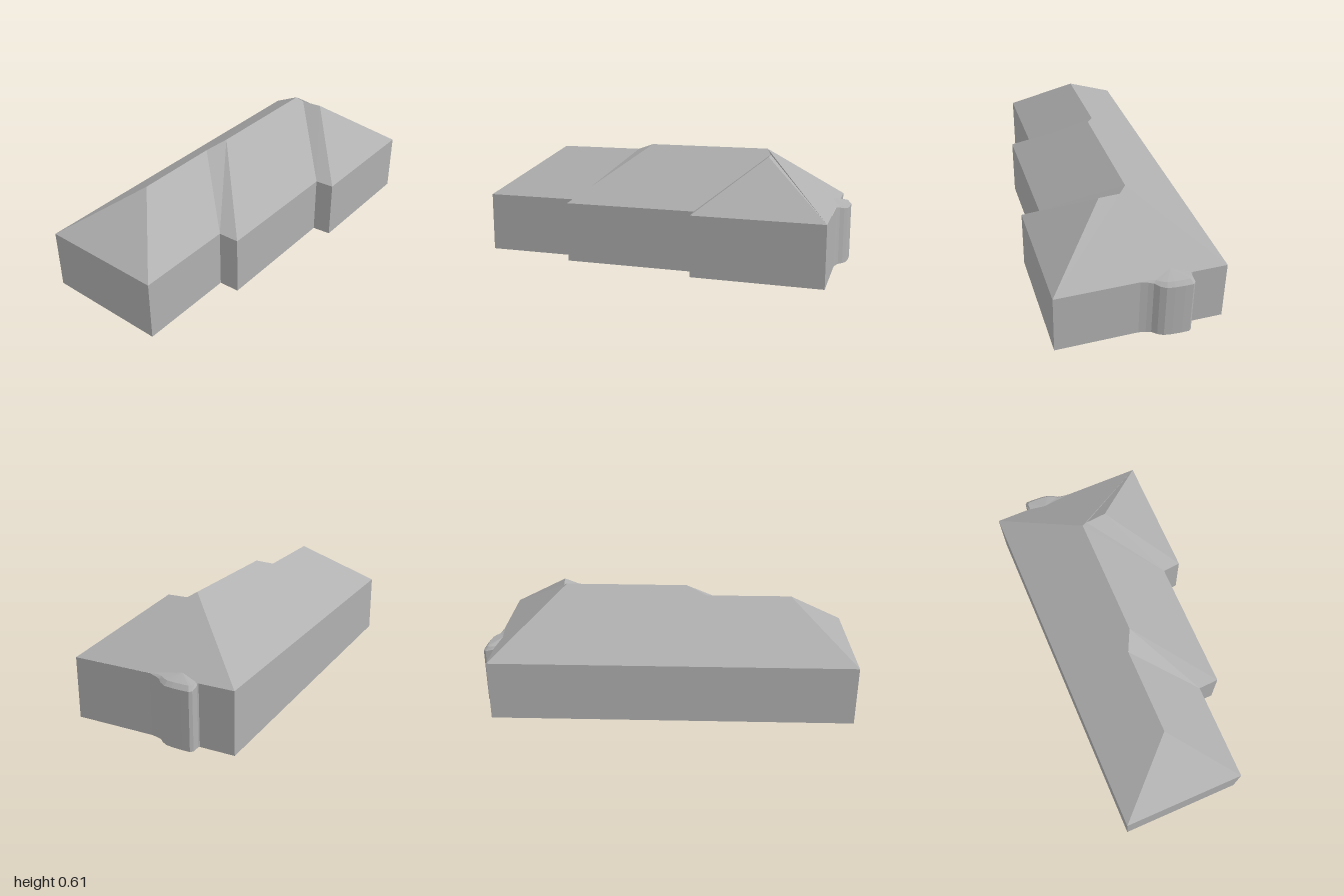
import * as THREE from 'three';

const EAVE = 0.32;
const grey = new THREE.MeshStandardMaterial({ color: 0xb0b0b0 });
grey.name = 'plain grey';

// Flat-faced mesh from convex-ish polygons, each fanned from its first corner
function faceted(name, polygons) {
  const positions = [];
  for (const p of polygons) {
    for (let i = 1; i < p.length - 1; i++) positions.push(...p[0], ...p[i], ...p[i + 1]);
  }
  const geometry = new THREE.BufferGeometry();
  geometry.setAttribute('position', new THREE.Float32BufferAttribute(positions, 3));
  geometry.computeVertexNormals();
  const mesh = new THREE.Mesh(geometry, grey);
  mesh.name = name;
  return mesh;
}

export function createModel() {
  const house = new THREE.Group();
  house.name = 'house';

  // Eave corners, back left round the stepped front to back right
  const A = [-0.963, EAVE, -0.487], H = [-1, EAVE, 0.162];
  const G = [-0.485, EAVE, 0.193], F = [-0.487, EAVE, 0.302];
  const E = [0.222, EAVE, 0.343], D = [0.226, EAVE, 0.441];
  const C = [0.902, EAVE, 0.482], B = [0.946, EAVE, -0.381];

  // Curved bay on the left side wall
  const bay = [
    [0.924, EAVE, 0.06], [0.933, 0.315, 0.025], [0.943, 0.31, 0], [0.965, 0.303, -0.022],
    [0.982, 0.3, -0.05], [0.99, 0.3, -0.09], [0.995, 0.3, -0.14], [0.997, 0.3, -0.18],
    [0.985, 0.3, -0.193], [0.942, 0.31, -0.195], [0.936, EAVE, -0.2],
  ];

  // Walls follow the full outline
  const outline = [A, H, G, F, E, D, C, ...bay, B];
  house.add(faceted('walls', outline.map((p, i) => {
    const q = outline[(i + 1) % outline.length];
    return [[p[0], 0, p[2]], [q[0], 0, q[2]], q, p];
  })));

  // Floor slab closing the underside
  const floorShape = new THREE.Shape(outline.map((p) => new THREE.Vector2(p[0], p[2])));
  const floor = new THREE.Mesh(new THREE.ShapeGeometry(floorShape).rotateX(Math.PI / 2), grey);
  floor.name = 'floor';
  house.add(floor);

  // Ridge points, left to right, and the short cross ridge of the end wing
  const r1 = [-0.655, 0.575, -0.125], r2 = [-0.2, 0.575, -0.1];
  const r3 = [-0.1, 0.612, -0.042], r4 = [0.55, 0.612, -0.003];
  const s1 = [0.575, 0.587, 0.143], s2 = [0.572, 0.585, 0.03];
  house.add(faceted('roof', [
    [B, A, r1, r2, r3, r4], // long back slope
    [A, H, r1], // hip end
    [H, G, r2, r1], // low front slope
    [G, F, r3, r2], // first step
    [F, E, r4, r3], // middle front slope
    [E, D, s1, s2, r4], // second step
    [D, C, s1], // wing front
    [C, B, r4, s2, s1], // wing side
  ]));

  // Bay roof: a rounded lip rising into the main slope
  const crown = [0.9, 0.343, -0.1];
  const lip = bay.map((p) => [
    p[0] + (crown[0] - p[0]) * 0.2,
    p[1] + (0.325 - p[1]) * 0.85,
    p[2] + (crown[2] - p[2]) * 0.12,
  ]);
  const bayFaces = [];
  for (let i = 0; i < bay.length - 1; i++) {
    bayFaces.push([bay[i], bay[i + 1], lip[i + 1], lip[i]], [lip[i], lip[i + 1], crown]);
  }
  house.add(faceted('bayRoof', bayFaces));

  return house;
}
